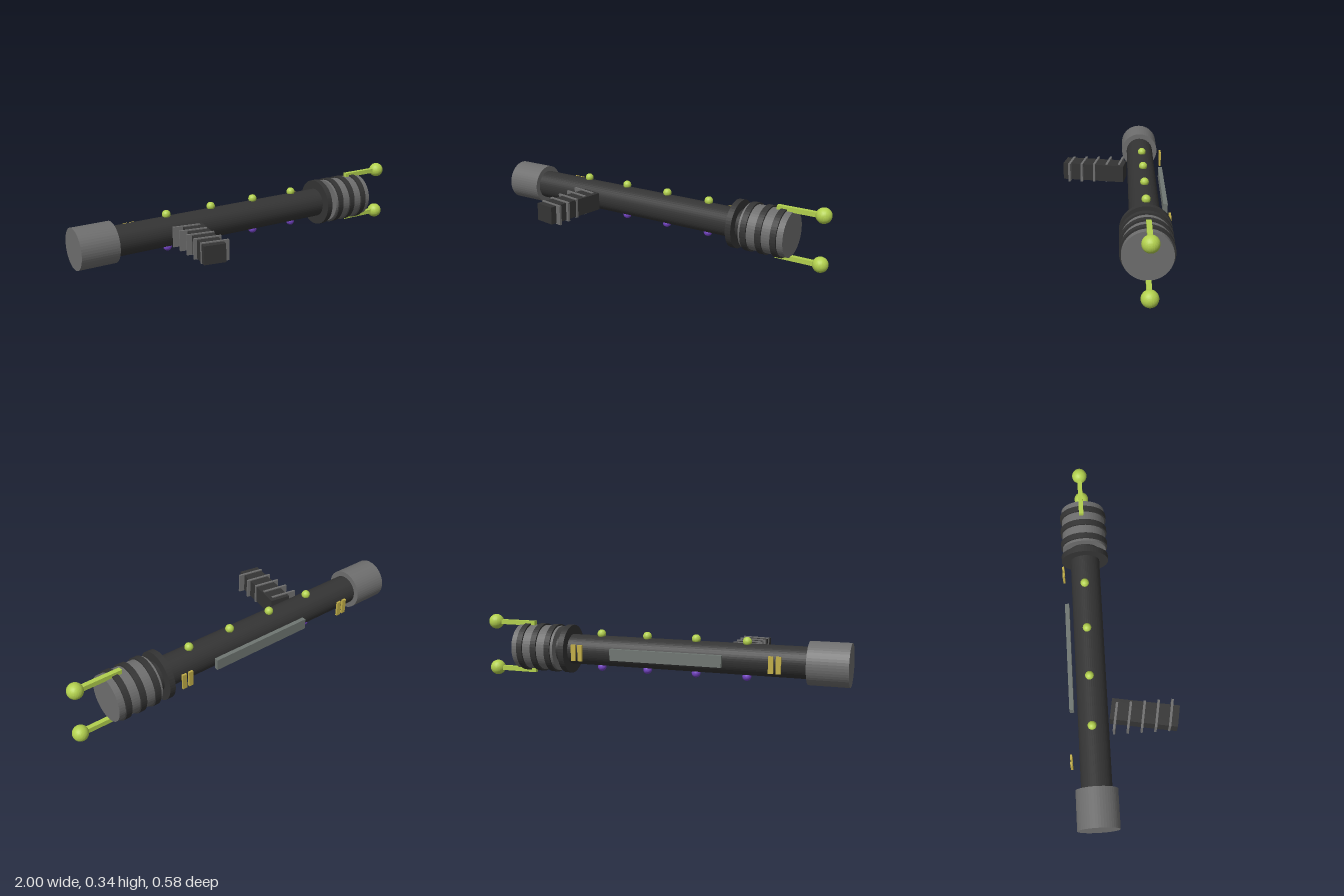
import * as THREE from 'three';

const AXIS_Y = 0.172, AXIS_Z = -0.164;

const mat = (name, color) => {
  const m = new THREE.MeshStandardMaterial({ color, flatShading: true });
  m.name = name;
  return m;
};

export function createModel() {
  const model = new THREE.Group();
  model.name = 'saberHandle';

  const black = mat('black', 0x343434);
  const grey = mat('grey', 0x6e6e6e);
  const plateGrey = mat('plateGrey', 0x6f7672);
  const green = mat('green', 0xb2d04e);
  const purple = mat('purple', 0x7444c4);
  const gold = mat('gold', 0xc2ae48);

  const add = (name, geometry, material, x, y, z, parent = model) => {
    const mesh = new THREE.Mesh(geometry, material);
    mesh.name = name;
    mesh.position.set(x, y, z);
    parent.add(mesh);
    return mesh;
  };
  // Cylinder lying along x, from x0 to x1
  const barrel = (name, x0, x1, r, material) =>
    add(name, new THREE.CylinderGeometry(r, r, x1 - x0, 48).rotateZ(-Math.PI / 2),
      material, (x0 + x1) / 2, AXIS_Y, AXIS_Z);
  const box = (name, w, h, d, material, x, y, z) =>
    add(name, new THREE.BoxGeometry(w, h, d), material, x, y, z);

  // Main body
  barrel('tube', -0.82, 0.57, 0.08, black);
  barrel('pommel', -1, -0.797, 0.109, grey);
  barrel('head', 0.553, 0.8, 0.121, grey);
  for (let i = 0; i < 4; i++) {
    const x = 0.5 + i * 0.0833;
    barrel('ring', x - 0.016, x + 0.016, 0.13, black);
  }

  // Prongs with ball tips, above and below the head
  for (const s of [1, -1]) {
    const y = AXIS_Y + s * 0.13;
    box('prong', 0.245, 0.025, 0.025, green, 0.833, y, -0.169);
    add('prongBall', new THREE.SphereGeometry(0.041, 32, 24), green, 0.957, y, -0.169);
  }

  // Studs along the top and underside
  for (const x of [-0.484, -0.216, 0.052, 0.313]) {
    add('topStud', new THREE.SphereGeometry(0.023, 24, 16), green, x, AXIS_Y + 0.091, -0.17);
    add('bottomStud', new THREE.SphereGeometry(0.023, 24, 16), purple, x, AXIS_Y - 0.087, -0.17);
  }

  // Back plate and paired clips
  box('backPlate', 0.6, 0.06, 0.023, plateGrey, -0.08, AXIS_Y, -0.274);
  for (const x of [-0.668, -0.63, 0.388, 0.426])
    box('clip', 0.025, 0.085, 0.011, gold, x, AXIS_Y, -0.286);

  // Angled side grip with ridges
  const tilt = -Math.PI / 18;
  box('grip', 0.114, 0.097, 0.355, black, -0.421, AXIS_Y, 0.106).rotation.y = tilt;
  for (let i = 0; i < 5; i++)
    box('gripRidge', 0.147, 0.108, 0.0125, grey, -0.432, AXIS_Y, 0.243 - i * 0.0725).rotation.y = tilt;

  return model;
}
